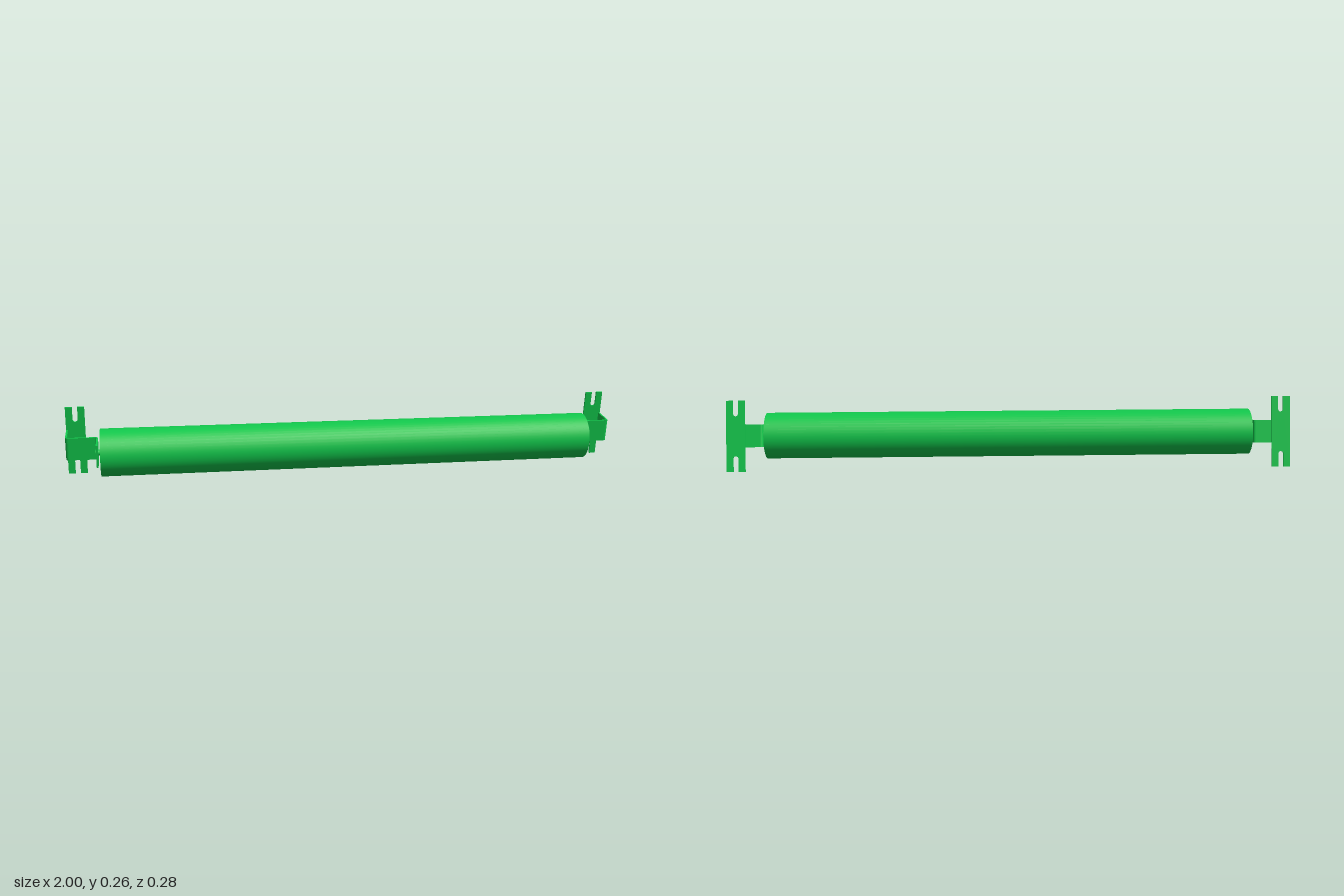
import * as THREE from 'three';

const PLATE_Z = -0.1235;   // mounting plate behind the roller axis
const ARM_HEIGHT = 0.082;
const THICK = 0.006;

// Z-bent strip: end plate, outward step, then back to the mounting plate
function armGeometry() {
  const path = new THREE.Path();
  path.moveTo(0.8905, 0.041);
  path.lineTo(0.8905, -0.033);
  path.quadraticCurveTo(0.8905, -0.041, 0.8985, -0.041);
  path.lineTo(0.989, -0.041);
  path.quadraticCurveTo(0.997, -0.041, 0.997, -0.049);
  path.lineTo(0.997, PLATE_Z);
  const pts = path.getPoints(5);
  const side = (s) => pts.map((p, i) => {
    const t = pts[Math.min(i + 1, pts.length - 1)].clone().sub(pts[Math.max(i - 1, 0)]).normalize();
    return new THREE.Vector2(p.x - t.y * s, p.y + t.x * s);
  });
  const outline = [...side(THICK / 2), ...side(-THICK / 2).reverse()];
  const geo = new THREE.ExtrudeGeometry(new THREE.Shape(outline), { depth: ARM_HEIGHT, bevelEnabled: false });
  geo.translate(0, 0, -ARM_HEIGHT / 2);
  geo.rotateX(Math.PI / 2);
  return geo;
}

// Tall plate with a round-bottomed slot open at each end
function plateGeometry() {
  const w = 0.033, h = 0.1255, r = 0.009, bottom = h - 0.046;
  const s = new THREE.Shape();
  s.moveTo(-w, -h);
  s.lineTo(-r, -h);
  s.lineTo(-r, -bottom);
  s.absarc(0, -bottom, r, Math.PI, 0, true);
  s.lineTo(r, -h);
  s.lineTo(w, -h);
  s.lineTo(w, h);
  s.lineTo(r, h);
  s.lineTo(r, bottom);
  s.absarc(0, bottom, r, 0, -Math.PI, true);
  s.lineTo(-r, h);
  s.lineTo(-w, h);
  s.closePath();
  const geo = new THREE.ExtrudeGeometry(s, { depth: THICK, bevelEnabled: false, curveSegments: 8 });
  geo.translate(0.967, 0, PLATE_Z - THICK / 2);
  return geo;
}

export function createModel() {
  const green = new THREE.MeshStandardMaterial({ color: 0x12c84c });
  green.name = 'green';

  const model = new THREE.Group();
  model.name = 'rollerAssembly';
  const tilted = new THREE.Group();
  tilted.name = 'tiltedRoller';
  tilted.position.set(-0.0035, 0.1105, 0.033);
  tilted.rotation.set(0.16, -0.0305, 0);
  model.add(tilted);

  const add = (parent, name, geo) => {
    const mesh = new THREE.Mesh(geo, green);
    mesh.name = name;
    parent.add(mesh);
  };

  // Roller and the shaft through it
  add(tilted, 'roller', new THREE.CylinderGeometry(0.083, 0.083, 1.758, 48).rotateZ(Math.PI / 2));
  add(tilted, 'shaft', new THREE.CylinderGeometry(0.0105, 0.0105, 1.792, 20).rotateZ(Math.PI / 2));

  // Mirrored end brackets
  const arm = armGeometry();
  const plate = plateGeometry();
  for (const [name, sign] of [['leftBracket', 1], ['rightBracket', -1]]) {
    const bracket = new THREE.Group();
    bracket.name = name;
    bracket.scale.x = sign;
    add(bracket, 'bentArm', arm);
    add(bracket, 'slottedPlate', plate);
    tilted.add(bracket);
  }
  return model;
}
